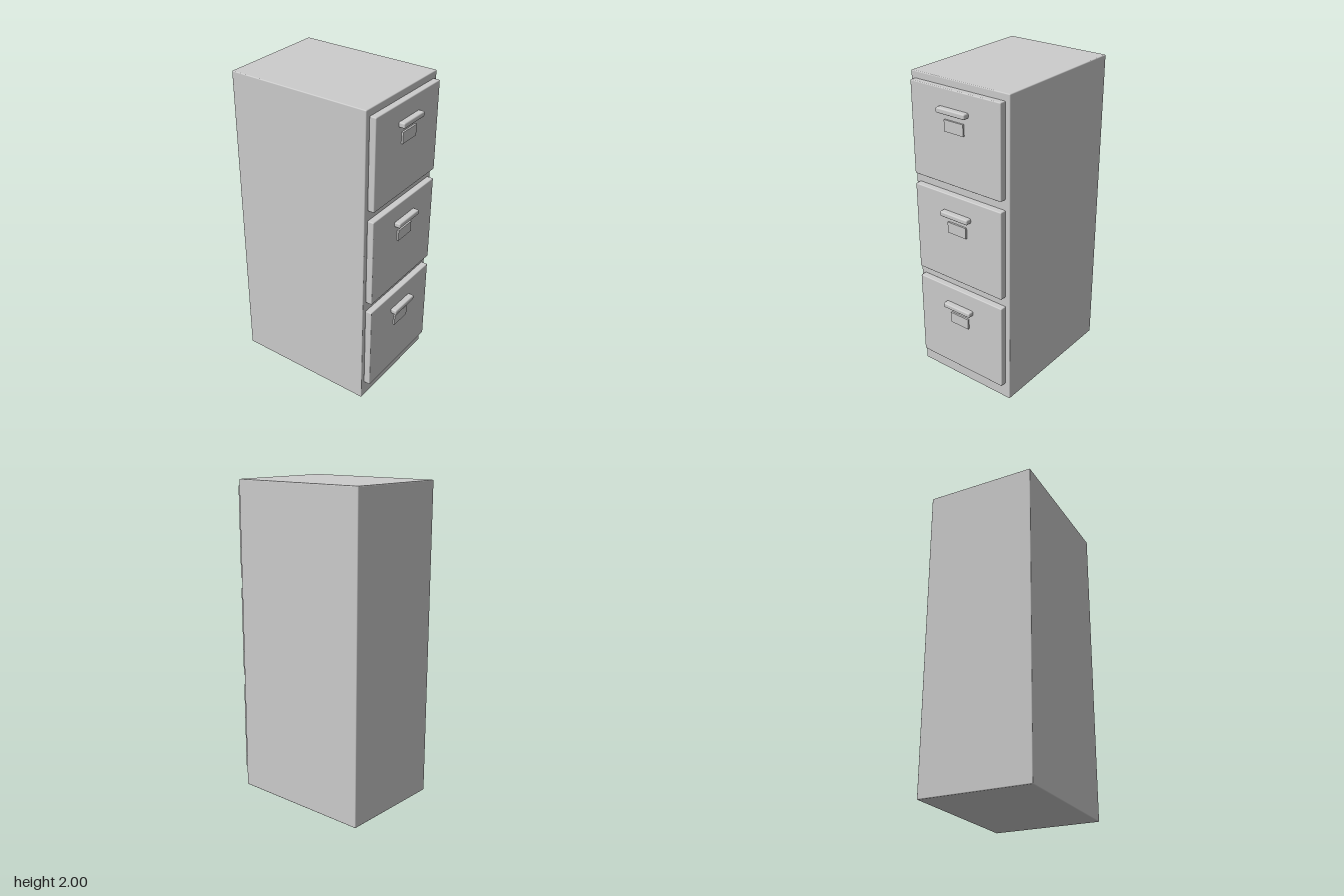
import * as THREE from 'three';
import { RoundedBoxGeometry } from 'three/addons/geometries/RoundedBoxGeometry.js';

const paint = new THREE.MeshStandardMaterial({ color: 0xcccccc });
paint.name = 'greyPaint';

// Box with optional rounded edges, placed by its centre and back face
function block(name, w, h, d, y, back, radius = 0) {
  const geometry = radius
    ? new RoundedBoxGeometry(w, h, d, 3, radius)
    : new THREE.BoxGeometry(w, h, d);
  const mesh = new THREE.Mesh(geometry, paint);
  mesh.name = name;
  mesh.position.set(0, y, back + d / 2);
  return mesh;
}

// Drawer front with its pull handle and label holder
function createDrawer(name, y) {
  const drawer = new THREE.Group();
  drawer.name = name;
  drawer.position.y = y;
  drawer.add(
    block('drawerFront', 0.646, 0.573, 0.044, 0, 0.423, 0.006),
    block('handle', 0.208, 0.032, 0.042, 0.167, 0.465, 0.008),
    block('labelHolder', 0.138, 0.07, 0.014, 0.075, 0.464)
  );
  return drawer;
}

export function createModel() {
  const cabinet = new THREE.Group();
  cabinet.name = 'filingCabinet';
  cabinet.add(block('cabinetBody', 0.706, 2, 0.932, 1, -0.507, 0.006));

  // Three evenly spaced drawers
  ['bottomDrawer', 'middleDrawer', 'topDrawer'].forEach((name, i) => {
    cabinet.add(createDrawer(name, 0.396 + i * 0.638));
  });
  return cabinet;
}
